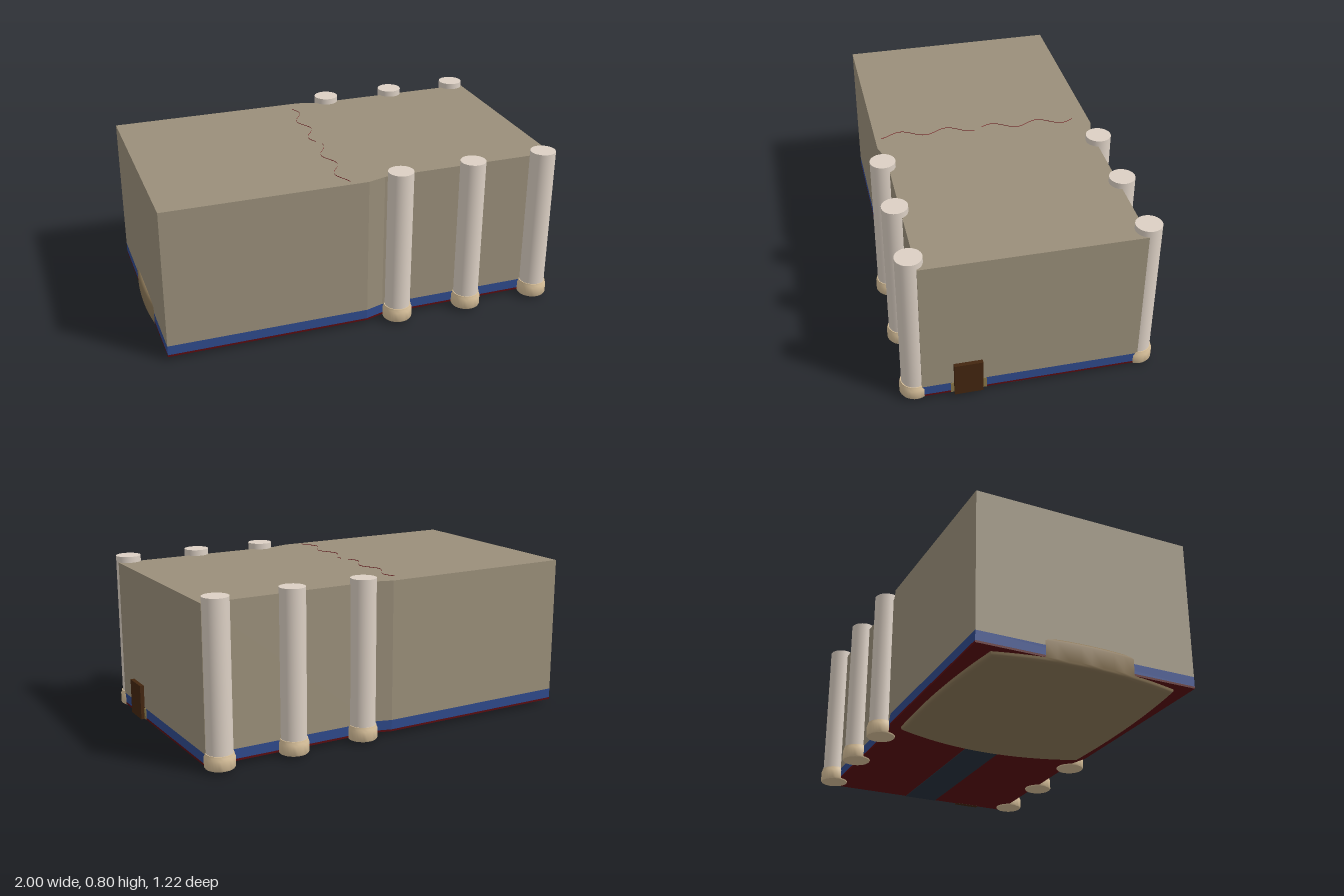
import * as THREE from 'three';
import { toCreasedNormals } from 'three/addons/utils/BufferGeometryUtils.js';

const mat = (color, opts = {}) => new THREE.MeshStandardMaterial({ color, ...opts });

export function createModel() {
  const group = new THREE.Group();
  group.name = 'hall';

  const add = (name, geometry, material, x = 0, y = 0, z = 0) => {
    const mesh = new THREE.Mesh(geometry, material);
    mesh.name = name;
    mesh.position.set(x, y, z);
    group.add(mesh);
    return mesh;
  };

  // Upright slab from a plan outline (shape y is -z)
  const slab = (shape, height, opts = {}) =>
    new THREE.ExtrudeGeometry(shape, { depth: height, bevelEnabled: false, ...opts }).rotateX(-Math.PI / 2);

  // Room plan: wide at the stage end, narrowing beside the first columns
  const plan = new THREE.Shape([
    [-0.985, -0.54], [0.01, -0.54], [0.1, -0.512], [0.98, -0.512],
    [0.98, 0.525], [0.1, 0.525], [0.01, 0.552], [-0.985, 0.552],
  ].map(([x, y]) => new THREE.Vector2(x, y)));

  add('floor', slab(plan, 0.01), mat(0x5a0c10), 0, 0.02);
  add('wainscot', slab(plan, 0.048), mat(0x2f4a8c), 0, 0.03);
  add('wallsAndCeiling', slab(plan, 0.692), mat(0x9a8f7a), 0, 0.078);

  // Aisle carpet along the floor
  add('aisle', new THREE.BoxGeometry(0.9, 0.004, 0.18), mat(0x28323e), 0.529, 0.019, 0);

  // Stage: bowed outline, soft lower edge, pushing through the end wall
  const bevel = 0.02;
  const stage = new THREE.Shape();
  stage.moveTo(-0.92, -0.44);
  stage.quadraticCurveTo(-0.5, -0.5, 0, -0.475);
  stage.quadraticCurveTo(0.2, 0, 0, 0.475);
  stage.quadraticCurveTo(-0.5, 0.5, -0.92, 0.44);
  stage.quadraticCurveTo(-1.04, 0, -0.92, -0.44);
  const stageGeo = slab(stage, 0.08, {
    bevelEnabled: true, bevelSize: bevel, bevelThickness: bevel, bevelSegments: 4, curveSegments: 16,
  });
  add('stage', toCreasedNormals(stageGeo, 0.6), mat(0x8c7858), 0, bevel, 0);

  // Pair of wavy curtains whose top edges just break the ceiling
  const curtainMat = mat(0x7a1018, { side: THREE.DoubleSide });
  for (const side of [-1, 1]) {
    const curtain = new THREE.PlaneGeometry(0.47, 0.655, 48, 1);
    const p = curtain.attributes.position;
    for (let i = 0; i < p.count; i++) {
      const z = p.getX(i) + side * 0.255 + 0.02;
      p.setXYZ(i, -0.07 - 0.05 * z + 0.024 * Math.sin(z * 27), p.getY(i), z);
    }
    curtain.computeVertexNormals();
    add(side > 0 ? 'frontCurtain' : 'backCurtain', curtain, curtainMat, 0, 0.4455, 0);
  }

  // Three columns on each side, standing on rounded bases
  const columnGeo = new THREE.CylinderGeometry(0.062, 0.062, 0.75, 32);
  const baseGeo = new THREE.LatheGeometry([
    [0, 0], [0.068, 0], [0.072, 0.006], [0.072, 0.05], [0.068, 0.06], [0.066, 0.07], [0, 0.07],
  ].map(([r, y]) => new THREE.Vector2(r, y)), 32);
  const baseCreased = toCreasedNormals(baseGeo, 0.9);
  const columnMat = mat(0xdcd0c4);
  const baseMat = mat(0xd8c09a);
  for (const z of [0.537, -0.541]) {
    for (const x of [0.17, 0.543, 0.918]) {
      add('column', columnGeo, columnMat, x, 0.425, z);
      add('columnBase', baseCreased, baseMat, x, 0.015, z);
    }
  }

  // Entrance door in the end wall, with its frame
  add('doorFrame', new THREE.BoxGeometry(0.02, 0.055, 0.17), mat(0x8a7748), 0.974, 0.05, 0.293);
  add('door', new THREE.BoxGeometry(0.03, 0.175, 0.135), mat(0x43260f), 0.985, 0.107, 0.295);

  return group;
}
